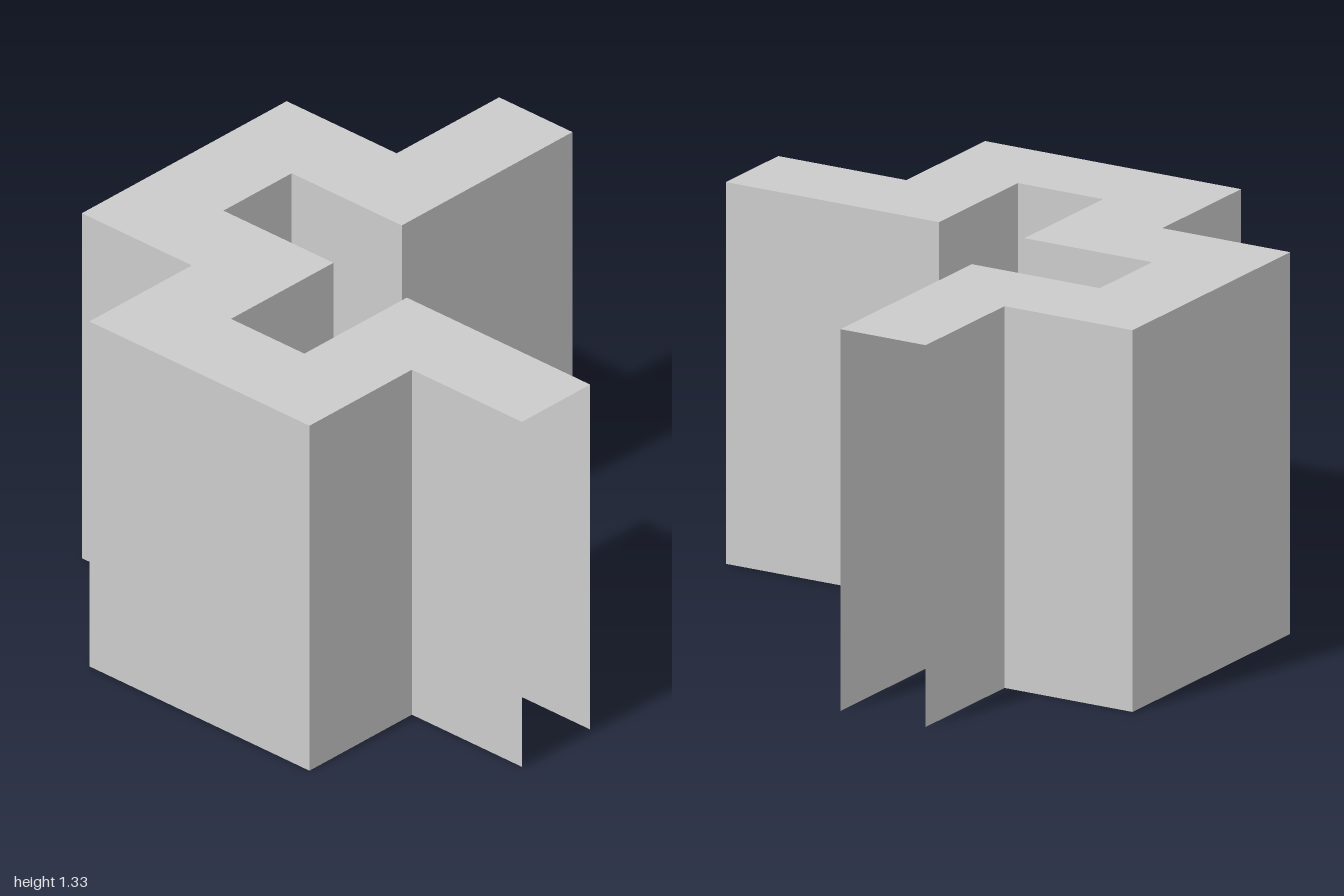
import * as THREE from 'three';

export function createModel() {
  const group = new THREE.Group();
  const material = new THREE.MeshStandardMaterial({
    color: 0xcccccc, flatShading: true, side: THREE.DoubleSide,
  });
  const height = 4 / 3, a = 1 / 6, b = 1 / 2, c = 2 / 3;

  // Plan outline as [x, z]; the two ends of the winding channel stay open
  const outerRun = [[-b, -1], [-b, -b], [-1, -b], [-1, b], [-b, b], [-b, 1], [b, 1], [b, b], [1, b]];
  const innerRun = [[1, a], [a, a], [a, c], [-a, c], [-a, a], [-c, a], [-c, -a], [-a, -a], [-a, -1]];

  // Upright wall panels along each run, facing outwards
  function addWalls(run, name) {
    const walls = new THREE.Group();
    walls.name = name;
    for (let i = 0; i < run.length - 1; i++) {
      const [x0, z0] = run[i], [x1, z1] = run[i + 1];
      const panel = new THREE.Mesh(
        new THREE.PlaneGeometry(Math.hypot(x1 - x0, z1 - z0), height), material);
      panel.position.set((x0 + x1) / 2, height / 2, (z0 + z1) / 2);
      panel.rotation.y = Math.atan2(z0 - z1, x1 - x0);
      panel.name = 'wallPanel';
      walls.add(panel);
    }
    group.add(walls);
  }
  addWalls(outerRun, 'outerWalls');
  addWalls(innerRun, 'innerWalls');

  // Flat roof closing the top; the underside is open
  const plan = new THREE.Shape([...outerRun, ...innerRun].map(([x, z]) => new THREE.Vector2(x, -z)));
  const roof = new THREE.Mesh(new THREE.ShapeGeometry(plan).rotateX(-Math.PI / 2), material);
  roof.position.y = height;
  roof.name = 'roof';
  group.add(roof);

  return group;
}
